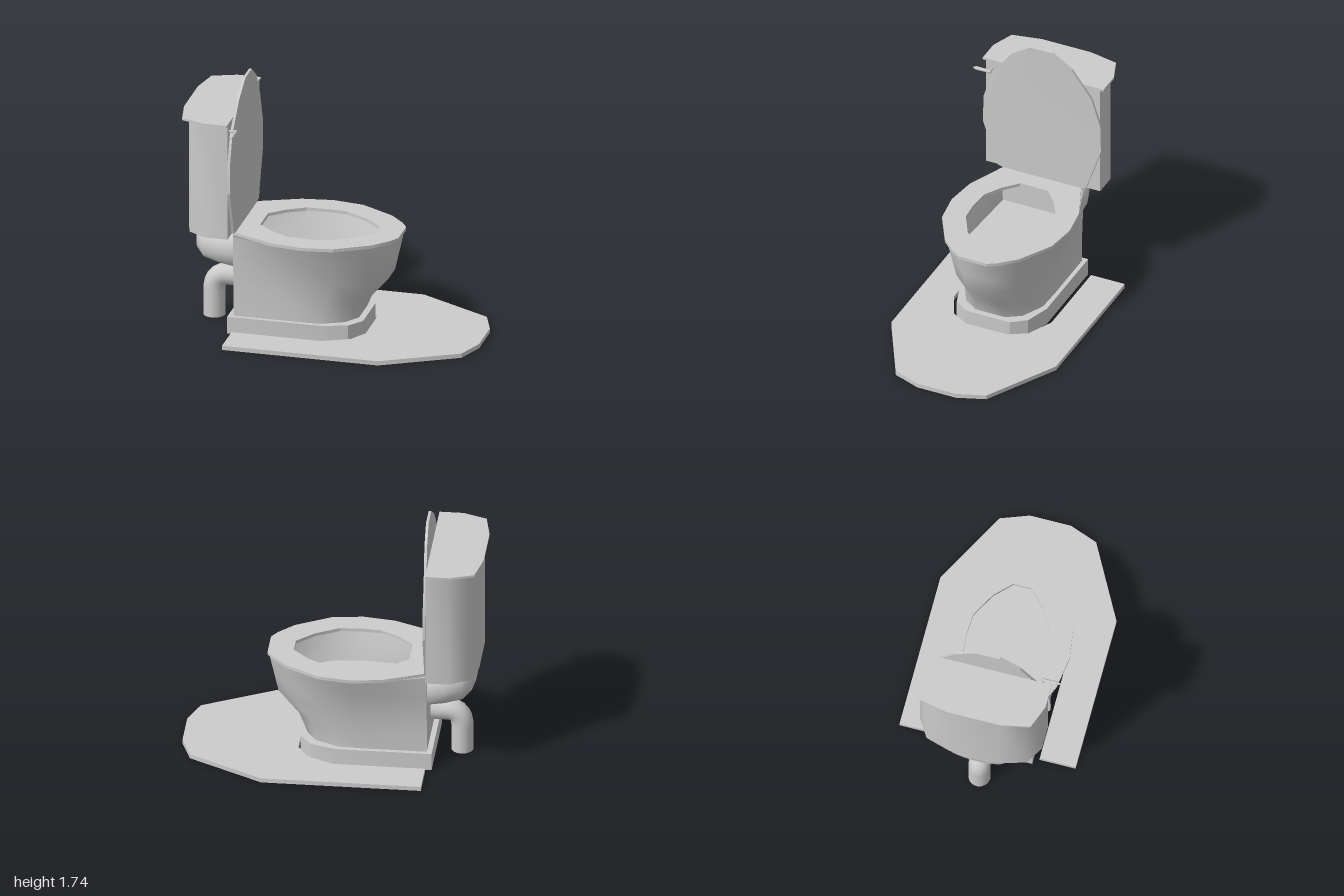
import * as THREE from 'three';
import { toCreasedNormals } from 'three/addons/utils/BufferGeometryUtils.js';

const material = new THREE.MeshStandardMaterial({ color: 0xcccccc, side: THREE.DoubleSide });

function add(parent, name, geometry) {
  const mesh = new THREE.Mesh(geometry, material);
  mesh.name = name;
  parent.add(mesh);
  return mesh;
}

// Full outline from the half on the +z side, listed from back to front
const mirror = half => [...half, ...half.slice().reverse().map(([x, z]) => [x, -z])];
const toVectors = points => points.map(([x, y]) => new THREE.Vector2(x, y));

// Flat slab with a plan outline (x, z) between two heights
function slab(outline, y0, y1, hole, crease = 0.5) {
  const shape = new THREE.Shape(toVectors(outline));
  if (hole) shape.holes.push(new THREE.Path(toVectors(hole)));
  const g = new THREE.ExtrudeGeometry(shape, { depth: y1 - y0, bevelEnabled: false });
  g.rotateX(-Math.PI / 2).translate(0, y0, 0);
  return toCreasedNormals(g, crease);
}

// Skin over closed rings of equal point count
function loft(rings, crease, capEnd = false) {
  const n = rings[0].length;
  const index = [];
  for (let r = 0; r < rings.length - 1; r++) {
    for (let i = 0; i < n; i++) {
      const a = r * n + i, b = r * n + (i + 1) % n;
      index.push(a, b, a + n, b, b + n, a + n);
    }
  }
  if (capEnd) {
    const s = (rings.length - 1) * n;
    for (let i = 1; i < n - 1; i++) index.push(s, s + i, s + i + 1);
  }
  const g = new THREE.BufferGeometry();
  g.setAttribute('position', new THREE.Float32BufferAttribute(rings.flat(2), 3));
  g.setIndex(index);
  g.computeVertexNormals();
  return toCreasedNormals(g, crease);
}

export function createModel() {
  const model = new THREE.Group();
  model.name = 'toilet';

  // Floor mat with a U-shaped cutout open at the back
  const cutout = [[-0.63, 0.355], [-0.02, 0.355], [0.16, 0.27], [0.23, 0.15]];
  const matEdge = [[-0.63, 0.6], [0.43, 0.6], [0.93, 0.33], [1, 0.14]];
  add(model, 'floorMat', slab([...mirror(matEdge), ...mirror(cutout).reverse()], 0, 0.03));

  // Hollow bowl body, lofted upward from the plinth
  const sections = [
    [0.10, [[-0.635, 0.285], [-0.36, 0.285], [-0.2, 0.285], [-0.05, 0.28], [0.1, 0.21], [0.165, 0.11]]],
    [0.25, [[-0.635, 0.285], [-0.36, 0.29], [-0.2, 0.295], [-0.02, 0.28], [0.14, 0.2], [0.23, 0.09]]],
    [0.41, [[-0.635, 0.29], [-0.36, 0.305], [-0.14, 0.32], [0.05, 0.3], [0.25, 0.21], [0.37, 0.08]]],
    [0.55, [[-0.635, 0.295], [-0.36, 0.345], [-0.14, 0.365], [0.06, 0.34], [0.27, 0.235], [0.4, 0.09]]],
    [0.69, [[-0.635, 0.3], [-0.36, 0.39], [-0.14, 0.415], [0.07, 0.39], [0.29, 0.26], [0.43, 0.095]]],
  ];
  const rings = sections.map(([y, half]) => mirror(half).map(([x, z]) => [x, y, z]));
  add(model, 'bowlBody', loft(rings, 0.9));

  // Inner floor of the bowl
  const floorHalf = sections[2][1].map(([x, z]) => [x, z]);
  const floor = new THREE.ShapeGeometry(new THREE.Shape(toVectors(mirror(floorHalf))));
  add(model, 'bowlFloor', floor.rotateX(-Math.PI / 2).translate(0, 0.44, 0));

  // Plinth frame around the foot of the body
  const plinth = [[-0.67, 0.315], [-0.03, 0.315], [0.14, 0.26], [0.215, 0.16]];
  add(model, 'plinth', slab(mirror(plinth), 0, 0.12, mirror(sections[0][1])));

  // Seat ring
  const seat = [[-0.65, 0.27], [-0.6, 0.295], [-0.35, 0.4], [-0.14, 0.43], [0.07, 0.4],
    [0.3, 0.27], [0.4, 0.165], [0.44, 0.1]];
  const opening = [[-0.5, 0.1], [-0.4, 0.19], [-0.28, 0.26], [-0.13, 0.27], [0, 0.26],
    [0.16, 0.17], [0.27, 0.06]];
  add(model, 'seat', slab(mirror(seat), 0.688, 0.71, mirror(opening), 0.3));

  // Raised lid, leaning forward slightly at the top
  const lidHalf = [[0.705, 0.26], [0.72, 0.32], [1.04, 0.43], [1.24, 0.425], [1.44, 0.36],
    [1.64, 0.22], [1.735, 0.08]];
  const lidShape = new THREE.Shape(toVectors(mirror(lidHalf).map(([y, z]) => [z, y])));
  const lid = new THREE.ExtrudeGeometry(lidShape, { depth: 0.018, bevelEnabled: false });
  lid.rotateY(Math.PI / 2).translate(-0.64, 0, 0);
  const p = lid.attributes.position;
  for (let i = 0; i < p.count; i++) {
    p.setX(i, p.getX(i) + Math.max(0, p.getY(i) - 1.44) * 0.05);
  }
  add(model, 'lid', toCreasedNormals(lid, 0.3));

  // Cistern and its overhanging cover
  const tank = [[-0.97, 0.17], [-0.92, 0.34], [-0.8, 0.415], [-0.642, 0.415]];
  add(model, 'cistern', slab(mirror(tank), 0.71, 1.52, null, 0.9));
  const cover = [[-1, 0.18], [-0.96, 0.38], [-0.8, 0.44], [-0.64, 0.44]];
  add(model, 'cisternCover', slab(mirror(cover), 1.515, 1.53));

  // Flush handle: stem and tapered lever
  const handle = new THREE.Group();
  handle.name = 'flushHandle';
  const stem = new THREE.CylinderGeometry(0.009, 0.009, 0.06, 8).rotateZ(Math.PI / 2);
  add(handle, 'handleStem', stem).position.set(-0.62, 1.465, 0.37);
  const lever = new THREE.CylinderGeometry(0.013, 0.011, 0.105, 8).rotateX(Math.PI / 2);
  add(handle, 'handleLever', lever).position.set(-0.597, 1.465, 0.412);
  const tip = new THREE.CylinderGeometry(0.006, 0.013, 0.022, 8).rotateX(Math.PI / 2);
  add(handle, 'handleTip', tip).position.set(-0.597, 1.465, 0.475);
  model.add(handle);

  // Rounded neck between body and cistern: [x, bottom, top, half width]
  const neck = [[-0.635, 0.41, 0.69, 0.285], [-0.75, 0.43, 0.695, 0.28], [-0.86, 0.45, 0.695, 0.24],
    [-0.915, 0.5, 0.68, 0.18], [-0.937, 0.55, 0.64, 0.1]];
  const squash = v => Math.sign(v) * Math.abs(v) ** 0.7;
  const neckRings = neck.map(([x, y0, y1, w]) => Array.from({ length: 20 }, (_, i) => {
    const a = i / 20 * Math.PI * 2;
    return [x, (y0 + y1) / 2 + (y1 - y0) / 2 * squash(Math.sin(a)), w * squash(Math.cos(a))];
  }));
  add(model, 'neck', loft(neckRings, 1.2, true));

  // Drain pipe with an elbow down to the floor
  const path = new THREE.CurvePath();
  const v = (x, y) => new THREE.Vector3(x, y, 0);
  path.add(new THREE.LineCurve3(v(-0.63, 0.295), v(-0.74, 0.295)));
  path.add(new THREE.QuadraticBezierCurve3(v(-0.74, 0.295), v(-0.84, 0.295), v(-0.84, 0.18)));
  path.add(new THREE.LineCurve3(v(-0.84, 0.18), v(-0.84, 0)));
  add(model, 'drainPipe', new THREE.TubeGeometry(path, 18, 0.074, 16));

  return model;
}
